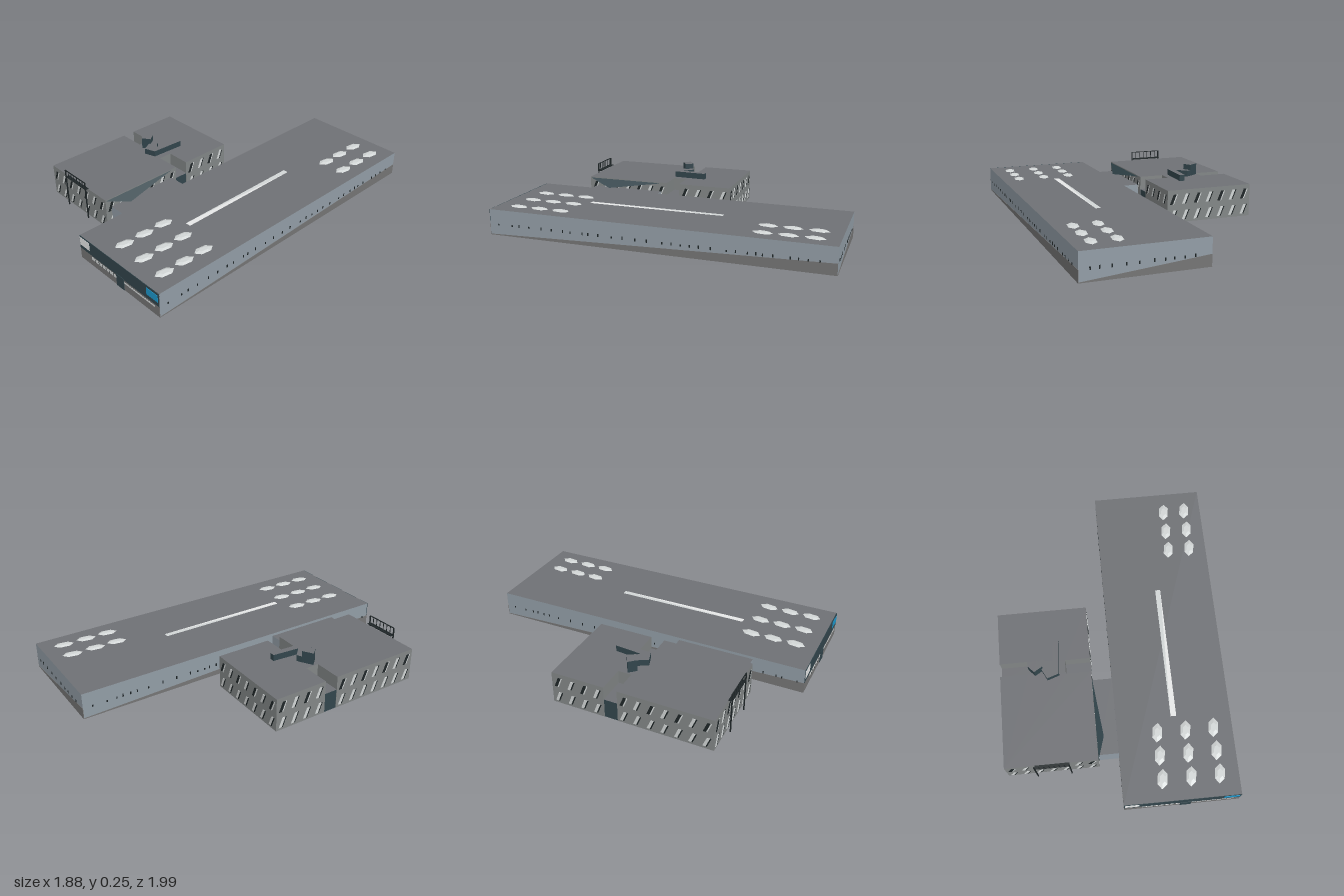
import * as THREE from 'three';

const mat = (name, color) => {
  const m = new THREE.MeshStandardMaterial({ color, side: THREE.DoubleSide });
  m.name = name;
  return m;
};

export function createModel() {
  const M = {
    roof: mat('roofGrey', 0x6f7175),
    hallWall: mat('blueGreyCladding', 0x929da6),
    plinth: mat('plinthGrey', 0x757575),
    officeWall: mat('officeGrey', 0x828686),
    teal: mat('darkTeal', 0x32454c),
    light: mat('paleGlass', 0xd2d6d6),
    dark: mat('darkGlass', 0x1f2628),
    blue: mat('signBlue', 0x1d98cc),
    white: mat('white', 0xf2f3f3),
  };
  const model = new THREE.Group();
  model.name = 'factory';
  // The whole plan is drawn square, then turned on the site
  const site = new THREE.Group();
  site.name = 'site';
  site.rotation.y = -0.467;
  model.add(site);

  const add = (parent, name, geo, material, x = 0, y = 0, z = 0) => {
    const m = new THREE.Mesh(geo, material);
    m.name = name;
    m.position.set(x, y, z);
    parent.add(m);
    return m;
  };
  const shapeOf = (pts) => new THREE.Shape(pts.map((p) => new THREE.Vector2(p[0], p[1])));

  // Horizontal roof plate from a plan outline of [x, z] points
  const plate = (parent, name, pts, y, material) => {
    const g = new THREE.ShapeGeometry(shapeOf(pts.map(([x, z]) => [x, -z])));
    return add(parent, name, g.rotateX(-Math.PI / 2), material, 0, y, 0);
  };
  // Upright wall from a to b (left to right seen from outside); its group is the wall's own frame
  const wall = (parent, name, a, b, h, material) => {
    const g = new THREE.Group();
    const dx = b[0] - a[0], dz = b[1] - a[1], len = Math.hypot(dx, dz);
    g.name = name;
    g.position.set(a[0], 0, a[1]);
    g.rotation.y = Math.atan2(-dz, dx);
    g.userData.len = len;
    add(g, name + 'Face', new THREE.PlaneGeometry(len, h), material, len / 2, h / 2, 0);
    parent.add(g);
    return g;
  };
  // Thin panel let into a wall, showing on both faces
  const panel = (w, name, pts, material, t = 0.005) =>
    add(w, name, new THREE.ExtrudeGeometry(shapeOf(pts), { depth: t, bevelEnabled: false }), material, 0, 0, -t / 2);
  const rect = (w, name, x0, x1, y0, y1, material, t) =>
    panel(w, name, [[x0, y0], [x1, y0], [x1, y1], [x0, y1]], material, t);
  // Open-bottomed block: walls around an outline plus a flat roof
  const block = (name, pts, h, material) => {
    const g = new THREE.Group();
    g.name = name;
    site.add(g);
    plate(g, name + 'Roof', pts, h, M.roof);
    const walls = pts.map((p, i) => wall(g, name + 'Wall', p, pts[(i + 1) % pts.length], h, material));
    return { g, walls };
  };

  // ---- Long production hall ----
  const H = 0.145, X0 = -0.125, X1 = 0.518, Z0 = -1.056, Z1 = 0.847;
  const hall = block('hall', [[X0, Z1], [X1, Z1], [X1, Z0], [X0, Z0]], H, M.hallWall);
  let seed = 7;
  const rnd = () => (seed = (seed * 16807) % 2147483647) / 2147483647;
  hall.walls.slice(1).forEach((w) => {
    const L = w.userData.len;
    panel(w, 'plinthWedge', [[0, 0], [L, 0], [L, 0.062], [0, 0.004]], M.plinth, 0.003);
    // Scattered little windows
    for (let x = 0.05; x < L - 0.03; x += 0.03 + rnd() * 0.06)
      rect(w, 'smallWindow', x, x + 0.006, 0.056, 0.066 + rnd() * 0.008, M.dark);
  });

  // Hall entrance front
  const front = hall.walls[0], FL = front.userData.len;
  rect(front, 'frontBase', 0, FL, 0, 0.065, M.plinth, 0.003);
  rect(front, 'frontFascia', 0, FL, 0.065, H, M.teal, 0.004);
  rect(front, 'glassBand', 0.1, 0.31, 0.04, 0.058, M.light);
  rect(front, 'glassBandRight', 0.37, 0.61, 0.045, 0.054, M.light);
  rect(front, 'entranceDoor', 0.31, 0.37, 0, 0.072, M.teal, 0.009);
  rect(front, 'whiteSign', 0.004, 0.085, 0.088, 0.137, M.white, 0.008);
  rect(front, 'blueSign', 0.55, 0.635, 0.09, 0.132, M.blue, 0.008);
  for (let i = 0; i < 6; i++)
    rect(front, 'frontMullion', 0.13 + i * 0.03, 0.133 + i * 0.03, 0.04, 0.058, M.dark, 0.007);

  // Long roof light, split on its diagonal
  plate(hall.g, 'roofLightWhite', [[0.183, 0.378], [0.215, 0.378], [0.212, -0.403]], H + 0.002, M.white);
  plate(hall.g, 'roofLightGrey', [[0.183, 0.378], [0.212, -0.403], [0.182, -0.403]], H + 0.002, M.light);

  // Hexagonal roof domes
  const dome = (x, z) => {
    const d = add(hall.g, 'roofDome', new THREE.CylinderGeometry(0.5, 1, 1, 6).toNonIndexed(), M.light, x, H + 0.003, z);
    d.geometry.computeVertexNormals();
    d.scale.set(0.031, 0.006, 0.056);
    d.rotation.y = -0.15;
  };
  for (const z of [0.464, 0.594, 0.724]) for (const x of [0.098, 0.256, 0.413]) dome(x, z);
  for (const z of [-0.93, -0.797, -0.668]) for (const x of [0.292, 0.419]) dome(x, z);

  // ---- Office building with two recesses ----
  const OH = 0.185;
  const office = block('office', [
    [-0.754, 0.592], [-0.239, 0.592], [-0.239, 0.08], [-0.382, 0.08], [-0.382, 0], [-0.239, 0],
    [-0.239, -0.316], [-0.754, -0.316], [-0.754, -0.011], [-0.597, -0.011], [-0.597, 0.065], [-0.754, 0.065],
  ], OH, M.officeWall);
  const windowRows = (w) => {
    const L = w.userData.len, n = Math.floor(L / 0.066), step = L / n;
    for (let i = 0; i < n; i++) for (const [r, y] of [0.014, 0.105].entries()) {
      const x = (i + 0.5) * step - 0.023, h = 0.055;
      const slant = (a, b, name, m) =>
        panel(w, name, [[x + a, y], [x + b, y], [x + b + 0.022, y + h], [x + a + 0.022, y + h]], m);
      const flip = (i * 2 + r) % 4 === 1;
      slant(0, 0.017, 'windowPane', flip ? M.dark : M.light);
      slant(0.017, 0.024, 'windowReveal', flip ? M.light : M.dark);
    }
  };
  [0, 1, 5, 6, 7, 11].forEach((i) => windowRows(office.walls[i]));

  // Lower roofs and dark doors closing the recesses
  const recess = (x0, x1, z0, z1, outer) => {
    plate(office.g, 'recessRoof', [[x0, z1], [x1, z1], [x1, z0], [x0, z0]], 0.11, M.roof);
    wall(office.g, 'recessDoor', [outer, z0], [outer, z1], 0.11, M.teal);
  };
  recess(-0.754, -0.597, -0.011, 0.065, -0.752);
  recess(-0.382, -0.239, 0, 0.08, -0.241);

  // Zigzag plant housing on the office roof, outlined in site coordinates
  const c = Math.cos(0.467), s = Math.sin(0.467);
  const housing = (name, pts, top) => {
    const sh = shapeOf(pts.map(([x, z]) => [x * c + z * s, x * s - z * c]));
    const g = new THREE.ExtrudeGeometry(sh, { depth: top - OH, bevelEnabled: false }).rotateX(-Math.PI / 2);
    add(office.g, name, g, [M.roof, M.teal], 0, OH, 0);
  };
  housing('plantDuct', [[-0.485, -0.235], [-0.45, -0.235], [-0.425, -0.165], [-0.345, -0.295],
    [-0.318, -0.28], [-0.415, -0.11], [-0.485, -0.12]], 0.22);
  housing('plantTower', [[-0.545, -0.23], [-0.48, -0.235], [-0.475, -0.185], [-0.53, -0.18]], 0.252);

  // Fire escape frame at the office front
  const rail = new THREE.Group();
  rail.name = 'fireEscape';
  rail.position.set(-0.588, 0, 0.612);
  site.add(rail);
  const bar = (name, x, y, z, w, h, d) => add(rail, name, new THREE.BoxGeometry(w, h, d), M.dark, x, y, z);
  for (const x of [0, 0.19]) bar('post', x, 0.118, 0, 0.006, 0.236, 0.006);
  for (const y of [0.192, 0.235]) bar('handrail', 0.095, y, 0, 0.19, 0.004, 0.005);
  for (let i = 1; i < 7; i++) bar('baluster', i * 0.19 / 7, 0.213, 0, 0.003, 0.043, 0.003);
  bar('landing', 0.095, 0.19, -0.01, 0.19, 0.004, 0.02);

  // ---- Link between office and hall ----
  const link = block('link', [[-0.239, 0.555], [-0.125, 0.555], [-0.125, 0.117], [-0.239, 0.117]], 0.13, M.hallWall);
  // Dark sloping flashing where the link meets the office
  const flash = new THREE.BufferGeometry();
  flash.setAttribute('position', new THREE.Float32BufferAttribute(
    [-0.238, 0.18, 0.117, -0.238, 0.18, 0.59, -0.2, 0.132, 0.45], 3));
  flash.computeVertexNormals();
  add(link.g, 'linkFlashing', flash, M.teal);

  return model;
}
